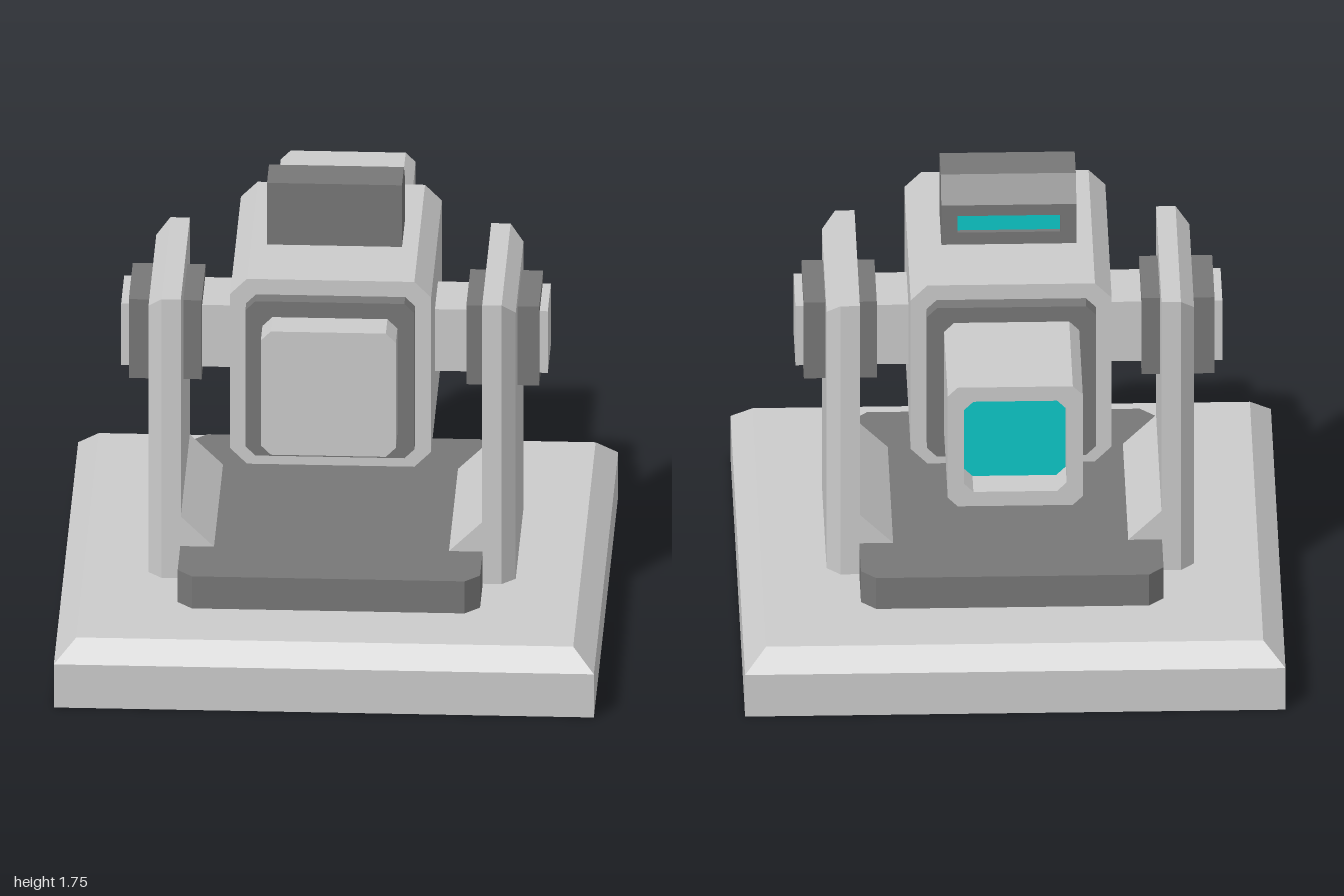
import * as THREE from 'three';

const material = (color) => new THREE.MeshStandardMaterial({ color, flatShading: true });

export function createModel() {
  const model = new THREE.Group();
  const light = material(0xcccccc);
  const dark = material(0x777777);
  const teal = material(0x0cc8c8);
  const midY = 1.125; // height of the pivot axis

  const add = (parent, name, geometry, mat) => {
    const mesh = new THREE.Mesh(geometry, mat);
    mesh.name = name;
    parent.add(mesh);
    return mesh;
  };

  const box = (x0, x1, y0, y1, z0, z1) =>
    new THREE.BoxGeometry(x1 - x0, y1 - y0, z1 - z0)
      .translate((x0 + x1) / 2, (y0 + y1) / 2, (z0 + z1) / 2);

  // Outline of a rectangle with cut corners
  const cutRect = (w, h, c) => [
    [-w + c, -h], [w - c, -h], [w, -h + c], [w, h - c],
    [w - c, h], [-w + c, h], [-w, h - c], [-w, -h + c],
  ].map(([x, y]) => new THREE.Vector2(x, y));

  const extrude = (points, depth, hole) => {
    const shape = new THREE.Shape(points);
    if (hole) shape.holes.push(new THREE.Path(hole));
    return new THREE.ExtrudeGeometry(shape, { depth, bevelEnabled: false });
  };

  const moveVertices = (geometry, rule) => {
    const p = geometry.attributes.position;
    const v = new THREE.Vector3();
    for (let i = 0; i < p.count; i++) {
      rule(v.fromBufferAttribute(p, i));
      p.setXYZ(i, v.x, v.y, v.z);
    }
    geometry.computeVertexNormals();
    return geometry;
  };

  // Base plate with a bevelled top edge
  add(model, 'basePlate', moveVertices(new THREE.BoxGeometry(2, 0.25, 2, 1, 2, 1), (v) => {
    if (v.y > 0.1) { v.x *= 0.92; v.z *= 0.92; }
    v.y = v.y < -0.1 ? 0 : v.y > 0.1 ? 0.25 : 0.175;
  }), light);

  // Turntable
  add(model, 'turntable', extrude(cutRect(0.56, 0.64, 0.055), 0.13)
    .rotateX(-Math.PI / 2).translate(0, 0.25, 0), dark);

  // Two supports, the second turned half way round
  for (const [name, turn] of [['leftSupport', 0], ['rightSupport', Math.PI]]) {
    const support = new THREE.Group();
    support.name = name;
    support.rotation.y = turn;
    model.add(support);

    // Upright with its outer face bevelled at the top, front and back
    add(support, 'upright', moveVertices(new THREE.BoxGeometry(0.125, 1.13, 0.74, 2, 1, 1), (v) => {
      const outer = v.x > 0.03;
      v.x = v.x < -0.03 ? 0.558 : outer ? 0.68 : 0.63;
      v.y += 0.815;
      if (outer) {
        v.z -= Math.sign(v.z) * 0.05;
        if (v.y > 1) v.y -= 0.05;
      }
    }), light);

    const gusset = [[0.435, 0.38], [0.57, 0.38], [0.57, 0.5], [0.558, 0.5]]
      .map(([x, y]) => new THREE.Vector2(x, y));
    add(support, 'gusset', extrude(gusset, 0.74).translate(0, 0, -0.37), light);
    add(support, 'axle', box(0.3, 0.79, midY - 0.125, midY + 0.125, -0.125, 0.125), light);
    add(support, 'axleCollar', box(0.49, 0.76, midY - 0.16, midY + 0.16, -0.163, 0.163), dark);
  }

  // Head housing and the dark collar that shows at its front and back
  const head = new THREE.Group();
  head.name = 'head';
  head.position.y = midY;
  model.add(head);
  add(head, 'housing', extrude(cutRect(0.372, 0.375, 0.062), 0.875).translate(0, 0, -0.4375), light);
  add(head, 'barrelCollar', extrude(cutRect(0.313, 0.313, 0.037), 1).translate(0, 0, -0.5), dark);

  // Barrel with a recessed lens at the back end
  const barrel = cutRect(0.25, 0.25, 0.037);
  add(head, 'barrel', extrude(barrel, 1.5).translate(0, 0, -0.87), light);
  add(head, 'barrelRim', extrude(barrel, 0.13, cutRect(0.19, 0.19, 0.035)).translate(0, 0, -1), light);
  add(head, 'lens', extrude(cutRect(0.19, 0.19, 0.035), 0.01).translate(0, 0, -0.877), teal);

  // Sensor on top: a sloped profile, notched in the middle for the window
  const outline = [[0.125, 1.5], [0.125, 1.75], [-0.04, 1.75], [-0.125, 1.665]];
  const notch = [[-0.125, 1.62], [-0.1, 1.62], [-0.1, 1.55], [-0.125, 1.55]];
  const sensor = new THREE.Group();
  sensor.name = 'sensor';
  model.add(sensor);
  for (const [name, x0, x1, cut] of [
    ['sensorRightEnd', -0.25, -0.19, []],
    ['sensorMiddle', -0.19, 0.19, notch],
    ['sensorLeftEnd', 0.19, 0.25, []],
  ]) {
    const points = [...outline, ...cut, [-0.125, 1.5]].map(([z, y]) => new THREE.Vector2(-z, y));
    add(sensor, name, extrude(points, x1 - x0).rotateY(Math.PI / 2).translate(x0, 0, 0), dark);
  }
  add(sensor, 'sensorWindow', box(-0.19, 0.19, 1.55, 1.62, -0.106, -0.096), teal);

  return model;
}
